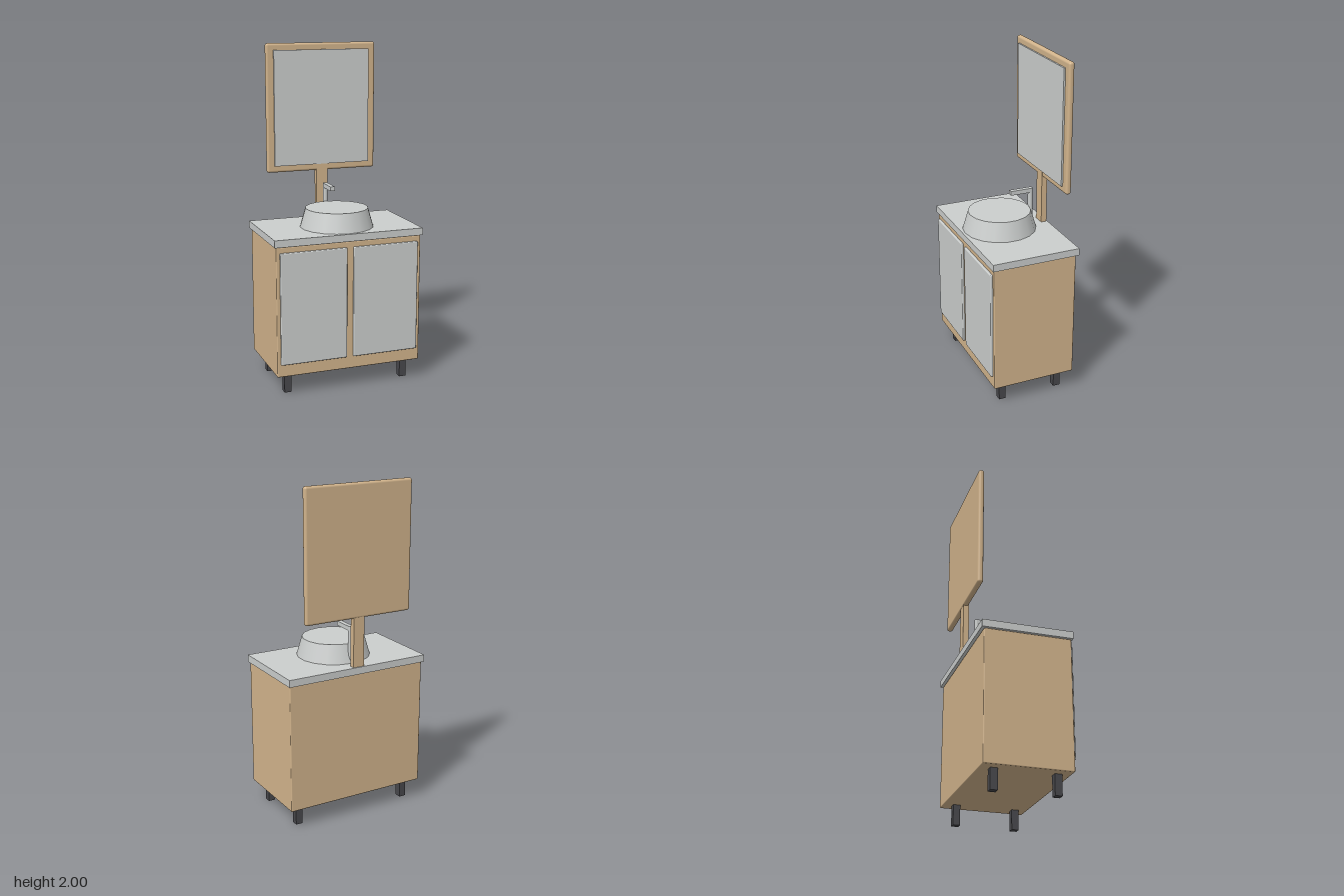
import * as THREE from 'three';
import { RoundedBoxGeometry } from 'three/addons/geometries/RoundedBoxGeometry.js';

export function createModel() {
  const group = new THREE.Group();
  const material = (name, color) => {
    const m = new THREE.MeshStandardMaterial({ color });
    m.name = name;
    return m;
  };
  const wood = material('wood', 0xd2b48c);
  const grey = material('pale grey', 0xcbcecd);
  const dark = material('dark grey', 0x48484c);

  const add = (name, geometry, mat, x, y, z) => {
    const mesh = new THREE.Mesh(geometry, mat);
    mesh.name = name;
    mesh.position.set(x, y, z);
    group.add(mesh);
  };
  // Box given by its low and high corners, optionally with rounded edges
  const box = (name, mat, [x0, y0, z0], [x1, y1, z1], radius = 0) => {
    const size = [x1 - x0, y1 - y0, z1 - z0];
    const geometry = radius
      ? new RoundedBoxGeometry(...size, 3, radius)
      : new THREE.BoxGeometry(...size);
    add(name, geometry, mat, (x0 + x1) / 2, (y0 + y1) / 2, (z0 + z1) / 2);
  };

  // Cabinet and countertop
  box('cabinet', wood, [-0.445, 0.12, -0.256], [0.445, 0.893, 0.254], 0.006);
  box('countertop', grey, [-0.455, 0.895, -0.271], [0.455, 0.938, 0.263]);

  // Doors and legs, mirrored left and right
  for (const side of [-1, 1]) {
    const span = (a, b) => (side > 0 ? [a, b] : [-b, -a]);
    const [d0, d1] = span(0.02, 0.424);
    box('door', grey, [d0, 0.195, 0.24], [d1, 0.86, 0.268], 0.006);
    const [l0, l1] = span(0.345, 0.387);
    for (const z of [-0.179, 0.179])
      box('leg', dark, [l0, 0, z - 0.021], [l1, 0.125, z + 0.021]);
  }

  // Tapered basin
  add('basin', new THREE.CylinderGeometry(0.187, 0.22, 0.113, 18), grey, 0, 0.9935, 0.03);

  // Faucet
  add('faucetPillar', new THREE.CylinderGeometry(0.0145, 0.0145, 0.224, 16), grey, 0, 1.048, -0.171);
  box('faucetSpout', grey, [-0.014, 1.134, -0.171], [0.014, 1.16, -0.04]);

  // Mirror on its post
  box('mirrorPost', wood, [-0.035, 0.938, -0.264], [0.035, 1.27, -0.23]);
  box('mirrorFrame', wood, [-0.345, 1.23, -0.267], [0.345, 2, -0.233], 0.014);
  box('mirrorGlass', grey, [-0.3, 1.27, -0.24], [0.3, 1.96, -0.223]);

  return group;
}
